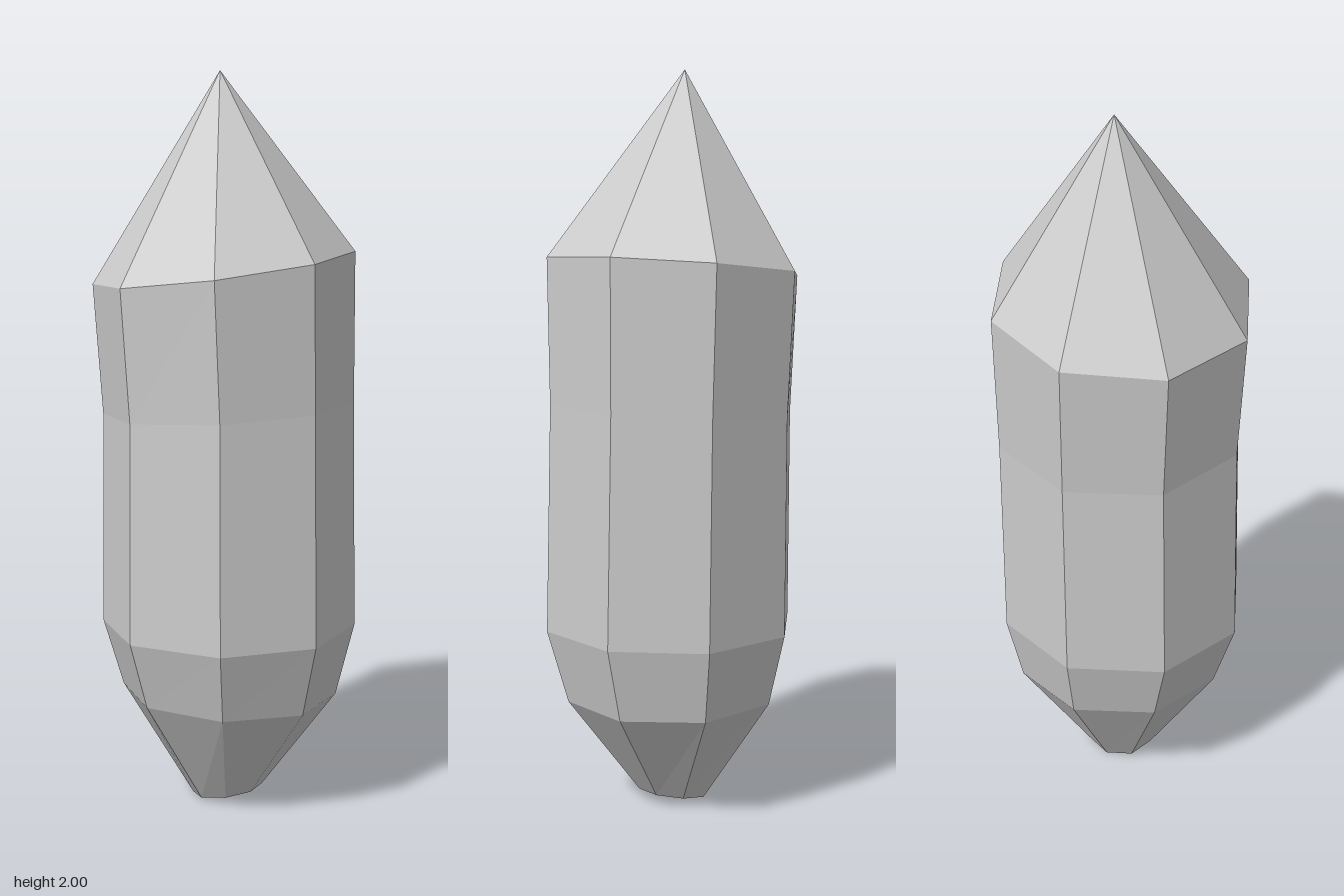
import * as THREE from 'three';

const SIDES = 8;

// Cross-sections from bottom to top: centre, radius and tilt (height gained per unit of x and z)
const RINGS = [
  { x: 0.005, y: 0.016, z: 0, r: 0.097, tiltX: 0.15, tiltZ: 0.05 },
  { x: 0.01, y: 0.307, z: 0, r: 0.296, tiltX: -0.03, tiltZ: 0 },
  { x: 0.008, y: 0.5, z: 0.008, r: 0.348, tiltX: 0, tiltZ: 0 },
  { x: 0.006, y: 1.1, z: 0, r: 0.341, tiltX: 0.06, tiltZ: 0.03 },
  { x: -0.007, y: 1.48, z: 0, r: 0.353, tiltX: 0.13, tiltZ: 0 },
];
const APEX = [-0.017, 2, -0.025];

function crystalGeometry() {
  const positions = [];
  const index = [];
  for (const { x, y, z, r, tiltX, tiltZ } of RINGS) {
    for (let i = 0; i < SIDES; i++) {
      const a = (i / SIDES) * Math.PI * 2;
      const dx = r * Math.cos(a);
      const dz = r * Math.sin(a);
      positions.push(x + dx, y + dx * tiltX + dz * tiltZ, z + dz);
    }
  }
  const apex = positions.length / 3;
  positions.push(...APEX);
  const base = apex + 1;
  positions.push(RINGS[0].x, RINGS[0].y, RINGS[0].z);

  const top = (RINGS.length - 1) * SIDES;
  for (let i = 0; i < SIDES; i++) {
    const j = (i + 1) % SIDES;
    // Side facets
    for (let k = 0; k < top; k += SIDES) {
      index.push(k + i, k + SIDES + i, k + j);
      index.push(k + j, k + SIDES + i, k + SIDES + j);
    }
    // Pointed tip and bottom cap
    index.push(top + i, apex, top + j);
    index.push(base, i, j);
  }

  const geometry = new THREE.BufferGeometry();
  geometry.setAttribute('position', new THREE.Float32BufferAttribute(positions, 3));
  geometry.setIndex(index);
  const faceted = geometry.toNonIndexed();
  faceted.computeVertexNormals();
  return faceted;
}

export function createModel() {
  const group = new THREE.Group();
  group.name = 'crystal';
  const material = new THREE.MeshStandardMaterial({ color: 0xcccccc, flatShading: true });
  const crystal = new THREE.Mesh(crystalGeometry(), material);
  crystal.name = 'crystalBody';
  group.add(crystal);
  return group;
}
